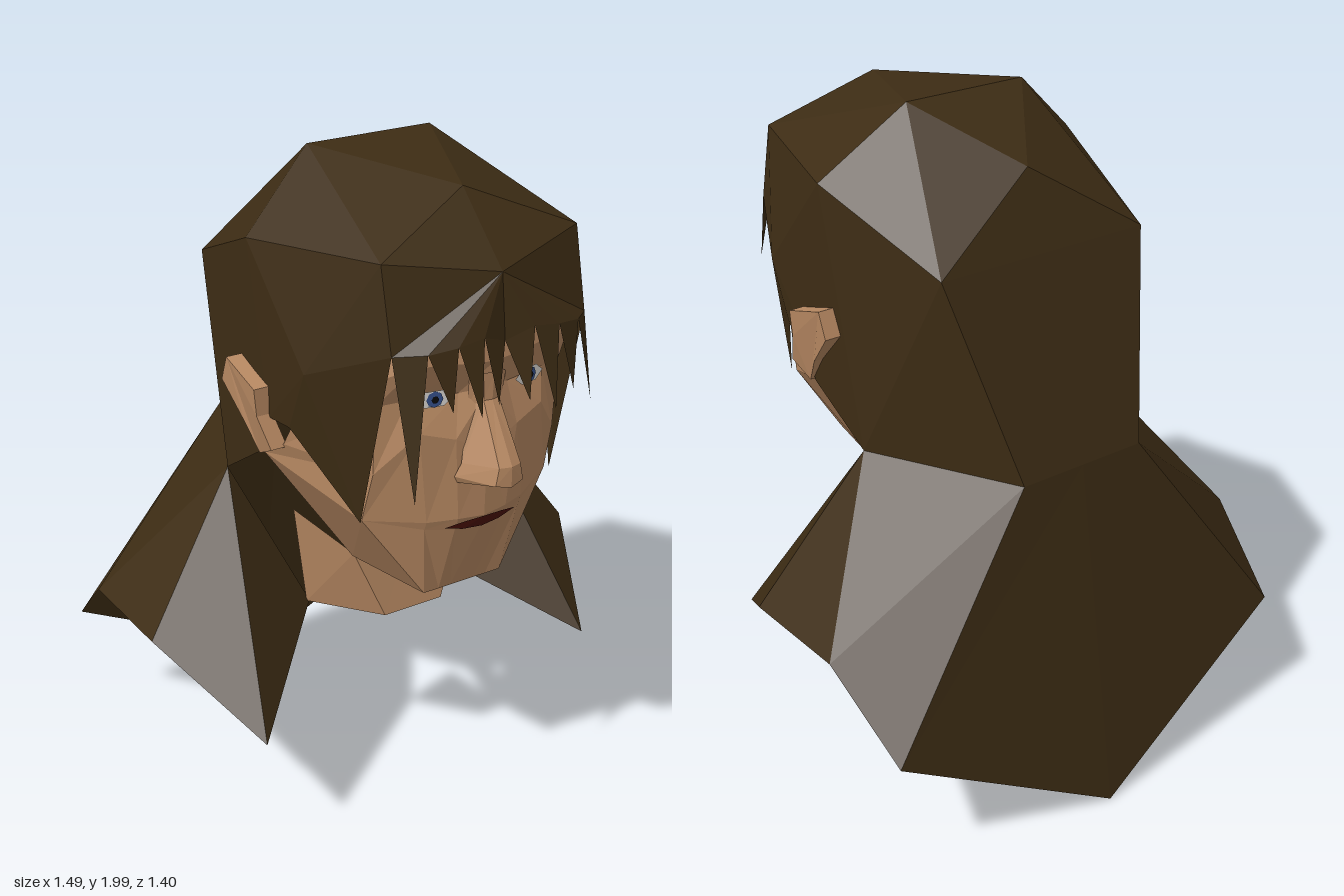
import * as THREE from 'three';

const SKIN = 0xb98a63, HAIR = 0x3d2c14;
const HEART = new THREE.Vector3(0, 1, 0);

const material = (color) =>
  new THREE.MeshStandardMaterial({ color, flatShading: true, side: THREE.DoubleSide });

// Flat-shaded sheet from polygons (fans of [x,y,z] points), turned to face away from the middle.
function sheet(name, color, polygons, mirrored = true) {
  const pos = [];
  const add = (a, b, c) => {
    const [A, B, C] = [a, b, c].map((p) => new THREE.Vector3(...p));
    const n = B.clone().sub(A).cross(C.clone().sub(A));
    if (n.lengthSq() < 1e-12) return;
    const mid = A.clone().add(B).add(C).divideScalar(3).sub(HEART);
    const order = n.dot(mid) < 0 ? [a, c, b] : [a, b, c];
    order.forEach((p) => pos.push(...p));
  };
  const flip = ([x, y, z]) => [-x, y, z];
  for (const poly of polygons) {
    for (let i = 1; i < poly.length - 1; i++) {
      const t = [poly[0], poly[i], poly[i + 1]];
      add(...t);
      if (mirrored) add(...t.map(flip));
    }
  }
  const geo = new THREE.BufferGeometry();
  geo.setAttribute('position', new THREE.Float32BufferAttribute(pos, 3));
  geo.computeVertexNormals();
  const mesh = new THREE.Mesh(geo, material(color));
  mesh.name = name;
  return mesh;
}

// Quads between neighbouring rows of points
function loft(rows) {
  const quads = [];
  for (let r = 0; r < rows.length - 1; r++)
    for (let c = 0; c < rows[r].length - 1; c++)
      quads.push([rows[r][c], rows[r + 1][c], rows[r + 1][c + 1], rows[r][c + 1]]);
  return quads;
}

// Face: rows from forehead to chin, each from the middle out to the jaw edge
function face() {
  return sheet('face', SKIN, loft([
    [[0, 1.74, 0.58], [0.1, 1.72, 0.57], [0.22, 1.7, 0.54], [0.29, 1.68, 0.5], [0.38, 1.6, 0.34]],
    [[0, 1.53, 0.6], [0.08, 1.54, 0.6], [0.23, 1.55, 0.57], [0.31, 1.51, 0.51], [0.4, 1.5, 0.34]],
    [[0, 1.45, 0.58], [0.08, 1.44, 0.55], [0.22, 1.44, 0.52], [0.3, 1.43, 0.49], [0.4, 1.42, 0.31]],
    [[0, 1.27, 0.58], [0.1, 1.32, 0.575], [0.2, 1.35, 0.55], [0.3, 1.23, 0.48], [0.42, 1.25, 0.22]],
    [[0, 1.07, 0.575], [0.08, 1.075, 0.565], [0.16, 1.07, 0.53], [0.31, 1.08, 0.44], [0.435, 1.2, 0.14]],
    [[0, 1.03, 0.56], [0.08, 1.035, 0.55], [0.16, 1.045, 0.52], [0.31, 1.08, 0.44], [0.435, 1.2, 0.14]],
    [[0, 0.82, 0.48], [0.04, 0.82, 0.48], [0.08, 0.82, 0.48], [0.13, 0.82, 0.48], [0.2, 0.84, 0.22]],
    [[0, 0.83, 0.21], [0.05, 0.83, 0.21], [0.1, 0.83, 0.21], [0.15, 0.83, 0.21], [0.2, 0.84, 0.22]],
  ]));
}

// Neck: open front half only
function neck() {
  return sheet('neck', SKIN, loft([
    [[0, 0.83, 0.21], [0.19, 0.84, 0.21], [0.3, 0.95, 0.06]],
    [[0, 0.62, 0.24], [0.1, 0.62, 0.24], [0.25, 0.62, 0.04]],
  ]));
}

// Nose: bridge widening to the nostrils, then the underside
function nose() {
  return sheet('nose', SKIN, loft([
    [[0, 1.5, 0.6], [0.03, 1.5, 0.595], [0.06, 1.48, 0.57]],
    [[0, 1.42, 0.595], [0.025, 1.42, 0.59], [0.055, 1.4, 0.56]],
    [[0, 1.26, 0.69], [0.035, 1.26, 0.68], [0.085, 1.25, 0.58]],
    [[0, 1.2, 0.69], [0.045, 1.21, 0.68], [0.1, 1.21, 0.57]],
    [[0, 1.19, 0.57], [0.04, 1.19, 0.57], [0.09, 1.19, 0.57]],
  ]));
}

// Dark opening between the lips
function mouth() {
  return sheet('mouth', 0x4a1208, [
    [[0, 1.07, 0.579], [0.06, 1.066, 0.572], [0.12, 1.053, 0.555], [0.06, 1.038, 0.561], [0, 1.034, 0.566]],
  ]);
}

// Eye: white diamond, iris and pupil, tilted with the eye socket
function eye(side) {
  const g = new THREE.Group();
  g.name = side > 0 ? 'leftEye' : 'rightEye';
  const disc = (name, rx, ry, n, color, z) => {
    const m = new THREE.Mesh(new THREE.CircleGeometry(1, n), material(color));
    m.scale.set(rx, ry, 1);
    m.position.z = z;
    m.name = name;
    g.add(m);
  };
  disc('eyeWhite', 0.055, 0.026, 6, 0xd8d4d0, 0);
  disc('iris', 0.024, 0.023, 8, 0x35508c, 0.003);
  disc('pupil', 0.011, 0.011, 6, 0x08080a, 0.006);
  g.position.set(side * 0.155, 1.44, 0.55);
  g.rotation.y = side * 0.2;
  return g;
}

// Ear: side outline extruded outwards, leaning in toward the lobe
function ear(side) {
  const outline = [[0.18, 1.41], [0.03, 1.455], [0, 1.38], [0.09, 1.28], [0.14, 1.2], [0.22, 1.24], [0.18, 1.33]];
  const shape = new THREE.Shape(outline.map(([z, y]) => new THREE.Vector2(-z, y)));
  const geo = new THREE.ExtrudeGeometry(shape, { depth: 0.05, bevelEnabled: false });
  geo.rotateY(Math.PI / 2);
  const p = geo.attributes.position;
  for (let i = 0; i < p.count; i++) {
    const lean = Math.max(0, 1.36 - p.getY(i)) * 0.22;
    p.setX(i, side * (0.435 + p.getX(i) - lean));
  }
  geo.computeVertexNormals();
  const mesh = new THREE.Mesh(geo, material(SKIN));
  mesh.name = side > 0 ? 'leftEar' : 'rightEar';
  return mesh;
}

// Hair cap with the side locks, and the cape of hair over the shoulders
function hair(group) {
  const crownMid = [0, 2, 0], crown = [0.2, 2, 0], front = [0, 1.96, 0.44], backTop = [0, 1.85, -0.27];
  const temple = [0.31, 1.83, 0.53], sideTop = [0.44, 1.8, 0.08];
  const back = [0.35, 1.63, -0.35], backMid = [0, 1.63, -0.35];
  const nape = [0.21, 1.06, -0.53], napeMid = [0, 1.06, -0.53], neckSide = [0.43, 1.06, -0.09];
  const earBack = [0.44, 1.2, 0.13], earTop = [0.44, 1.32, 0.18], earFront = [0.43, 1.32, 0.27];
  const cheek = [0.43, 1.5, 0.35], lockTip = [0.32, 1.08, 0.45], lockRoot = [0.31, 1.6, 0.58];
  const parting = [0, 1.78, 0.62];
  const fringe = [[0, 1.6, 0.64], [0.08, 1.63, 0.66], [0.16, 1.62, 0.66], [0.24, 1.61, 0.64], lockRoot];

  group.add(sheet('hairCap', HAIR, [
    [front, temple, crown], [front, crown, crownMid], [crownMid, crown, backTop],
    [crown, temple, sideTop], [crown, sideTop, back], [crown, back, backTop],
    [backTop, back, backMid], [backMid, back, nape, napeMid],
    [sideTop, neckSide, back], [back, neckSide, nape],
    [sideTop, earBack, neckSide], [sideTop, earTop, earBack],
    [sideTop, cheek, earTop], [cheek, earFront, earTop],
    [sideTop, temple, cheek], [temple, lockRoot, cheek],
    [cheek, lockRoot, lockTip], [cheek, lockTip, earFront],
    [front, parting, temple], [parting, lockRoot, temple], [parting, ...fringe],
  ]));

  // Pointed fringe strands, slightly different on each side
  const tips = {
    '1': [[0.05, 1.44, 0.69], [0.13, 1.4, 0.7], [0.21, 1.43, 0.67], [0.28, 1.38, 0.66]],
    '-1': [[0.05, 1.45, 0.69], [0.11, 1.43, 0.7], [0.18, 1.45, 0.67], [0.285, 1.21, 0.655]],
  };
  for (const side of [1, -1]) {
    const strands = tips[side].map((tip, i) =>
      [fringe[i], tip, fringe[i + 1]].map(([x, y, z]) => [side * x, y, z]));
    group.add(sheet(side > 0 ? 'leftFringe' : 'rightFringe', HAIR, strands, false));
  }

  const wingFront = [0.745, 0.62, 0], wingBack = [0.745, 0.62, -0.36], corner = [0.7, 0.4, -0.62];
  const tail = [0, 0.01, -0.7], spike = [0.57, 0.4, 0.35], collar = [0.24, 0.62, 0.04];
  group.add(sheet('shoulderHair', HAIR, [
    [napeMid, nape, corner, tail], [nape, neckSide, wingBack], [nape, wingBack, corner],
    [neckSide, wingFront, wingBack], [neckSide, spike, wingFront], [neckSide, collar, spike],
  ]));
}

export function createModel() {
  const model = new THREE.Group();
  model.name = 'headBust';
  model.add(face(), neck(), nose(), mouth());
  for (const side of [1, -1]) model.add(eye(side), ear(side));
  hair(model);
  return model;
}
